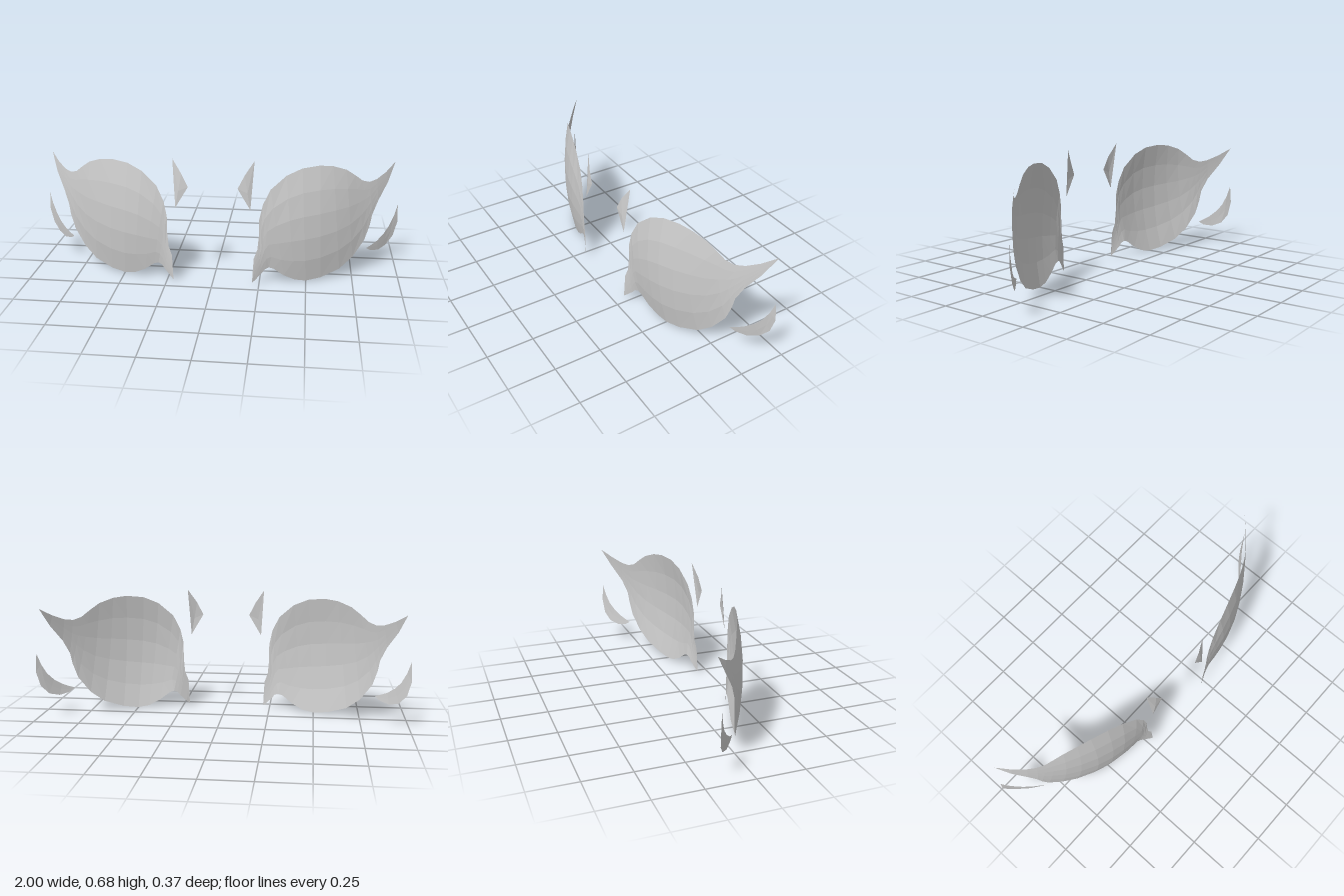
import * as THREE from 'three';

const material = new THREE.MeshStandardMaterial({
  color: 0xcccccc, flatShading: true, side: THREE.DoubleSide,
});

// Depth of the curved face along x at mid height
const arc = [[0.13, 0.176], [0.22, 0.175], [0.3, 0.172], [0.4, 0.163], [0.5, 0.142], [0.6, 0.106],
  [0.7, 0.052], [0.8, -0.018], [0.84, -0.046], [0.9, -0.093], [0.96, -0.15], [1.0, -0.178]];

function arcDepth(x) {
  let i = 1;
  while (i < arc.length - 1 && x > arc[i][0]) i++;
  const [x0, z0] = arc[i - 1], [x1, z1] = arc[i];
  return THREE.MathUtils.mapLinear(x, x0, x1, z0, z1);
}

// The face falls back above and below mid height; the inner tooth kicks forward
function faceDepth(x, y) {
  const kick = THREE.MathUtils.clamp((0.3 - x) / 0.087, 0, 1) * THREE.MathUtils.clamp((0.25 - y) / 0.24, 0, 1);
  return arcDepth(x) - 0.4 * (y - 0.32) ** 2 + 0.05 * kick;
}

// Thin sheet spanned between two edge chains that share their end points
function sheet(name, side, upper, lower, rows, depth) {
  const positions = [], index = [];
  upper.forEach(([ux, uy], i) => {
    const [lx, ly] = lower[i];
    for (let j = 0; j <= rows; j++) {
      const x = THREE.MathUtils.lerp(ux, lx, j / rows);
      const y = THREE.MathUtils.lerp(uy, ly, j / rows);
      positions.push(side * x, y, depth(x, y));
    }
  });
  const last = upper.length - 2;
  const tri = (a, b, c) => (side > 0 ? index.push(a, b, c) : index.push(a, c, b));
  for (let i = 0; i <= last; i++) {
    for (let j = 0; j < rows; j++) {
      const a = i * (rows + 1) + j, d = a + rows + 1;
      if (i > 0) tri(a, a + 1, d);
      if (i < last) tri(a + 1, d + 1, d);
      else if (i === last && j === 0) tri(a, a + 1, d);
    }
  }
  const geometry = new THREE.BufferGeometry();
  geometry.setAttribute('position', new THREE.Float32BufferAttribute(positions, 3));
  geometry.setIndex(index);
  geometry.computeVertexNormals();
  const mesh = new THREE.Mesh(geometry, material);
  mesh.name = name;
  return mesh;
}

// Round eye with a tooth at its inner foot and a wing at its outer top
const eyeUpper = [[0.213, 0.01], [0.22, 0.15], [0.238, 0.2], [0.245, 0.28], [0.245, 0.37], [0.262, 0.45],
  [0.3, 0.53], [0.38, 0.602], [0.46, 0.637], [0.55, 0.647], [0.62, 0.638], [0.69, 0.612],
  [0.74, 0.575], [0.78, 0.541], [0.82, 0.527], [0.86, 0.535], [0.91, 0.562], [0.963, 0.605]];
const eyeLower = [[0.213, 0.01], [0.23, 0.025], [0.265, 0.062], [0.28, 0.082], [0.3, 0.09], [0.325, 0.082],
  [0.38, 0.04], [0.44, 0.01], [0.5, 0], [0.58, 0.012], [0.68, 0.05], [0.75, 0.11],
  [0.81, 0.2], [0.835, 0.28], [0.845, 0.34], [0.875, 0.415], [0.925, 0.505], [0.963, 0.605]];

// Crescent outside the eye
const crescentUpper = [[0.825, 0.145], [0.85, 0.156], [0.885, 0.175], [0.92, 0.205], [0.95, 0.245], [0.975, 0.3], [0.993, 0.36]];
const crescentLower = [[0.825, 0.145], [0.85, 0.125], [0.895, 0.115], [0.94, 0.132], [0.978, 0.18], [0.999, 0.26], [0.993, 0.36]];

// Small shard between the eyes, bending back towards its top
const shardUpper = [[0.13, 0.535], [0.165, 0.605], [0.214, 0.679]];
const shardLower = [[0.13, 0.535], [0.198, 0.42], [0.214, 0.679]];
const shardDepth = (x, y) => 0.176 - 1.1 * Math.max(0, y - 0.52) ** 2 - (x > 0.2 ? 0.002 : 0);

export function createModel() {
  const model = new THREE.Group();
  model.name = 'eyeMarkings';
  for (const [label, side] of [['left', 1], ['right', -1]]) {
    model.add(
      sheet(`${label}Eye`, side, eyeUpper, eyeLower, 5, faceDepth),
      sheet(`${label}Crescent`, side, crescentUpper, crescentLower, 2, faceDepth),
      sheet(`${label}Shard`, side, shardUpper, shardLower, 2, shardDepth),
    );
  }
  return model;
}
